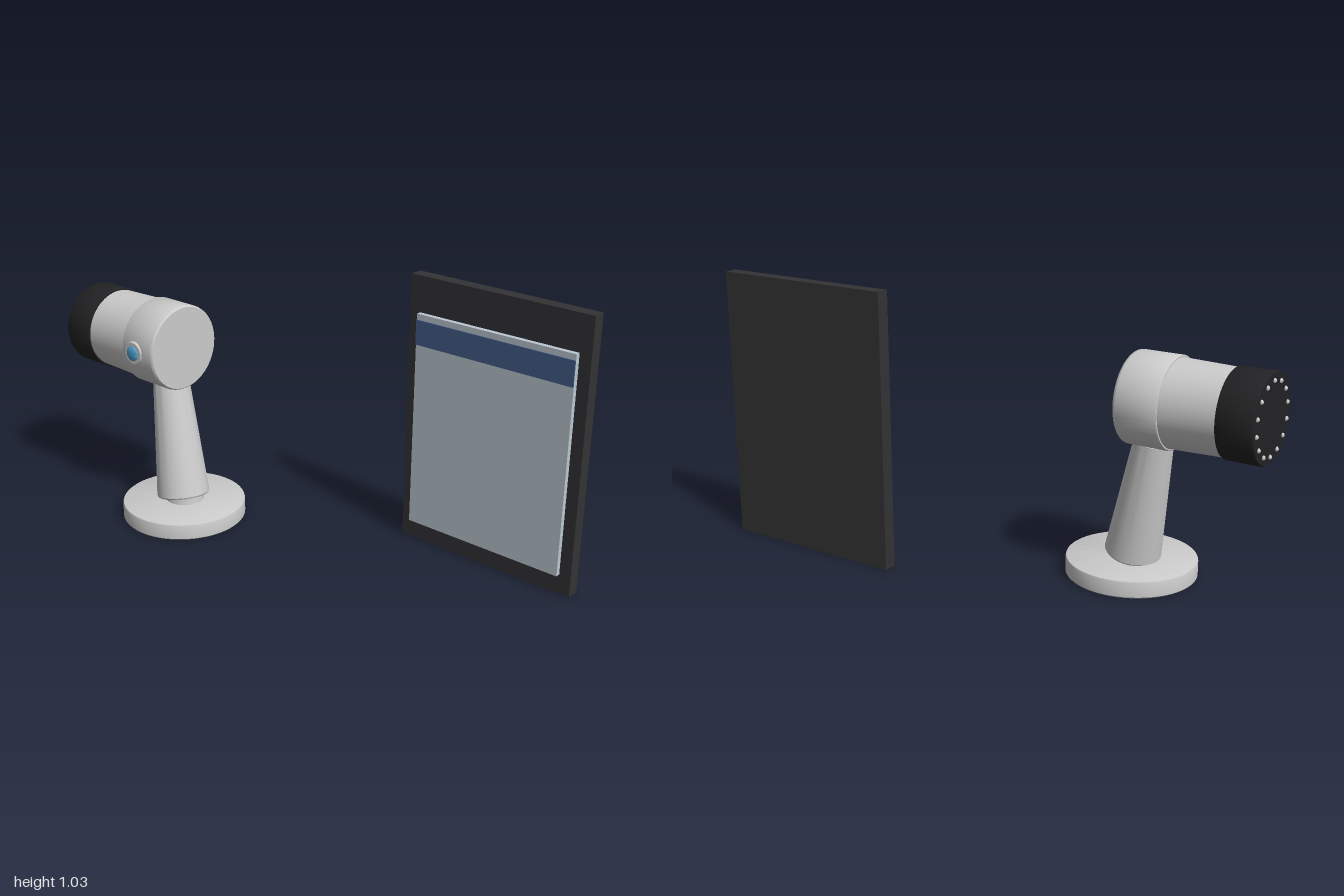
import * as THREE from 'three';
import { toCreasedNormals } from 'three/addons/utils/BufferGeometryUtils.js';

const material = (color) => new THREE.MeshStandardMaterial({ color });

export function createModel() {
  const model = new THREE.Group();
  const grey = material(0xcccccc);
  const black = material(0x222224);
  const frame = material(0x333335);
  const pane = material(0xbcc8d3);
  const navy = material(0x455f8c);
  const blue = material(0x4fa3d1);

  const add = (parent, name, geometry, mat, x = 0, y = 0, z = 0) => {
    const mesh = new THREE.Mesh(geometry, mat);
    mesh.name = name;
    mesh.position.set(x, y, z);
    parent.add(mesh);
    return mesh;
  };
  // Turned solid from [radius, height] pairs, listed bottom to top
  const turned = (pairs, sides = 64) => toCreasedNormals(
    new THREE.LatheGeometry(pairs.map(([r, h]) => new THREE.Vector2(r, h)), sides), 0.6);
  // Box given by its corner limits
  const box = (parent, name, mat, x0, x1, y0, y1, z0, z1) => add(parent, name,
    new THREE.BoxGeometry(x1 - x0, y1 - y0, z1 - z0), mat, (x0 + x1) / 2, (y0 + y1) / 2, (z0 + z1) / 2);

  // Stand: round foot, socket and leaning tapered arm
  const stand = new THREE.Group();
  stand.name = 'stand';
  model.add(stand);
  add(stand, 'foot', turned([[0, 0], [0.235, 0], [0.24, 0.005], [0.24, 0.058], [0.238, 0.063], [0.233, 0.065], [0, 0.065]]),
    grey, -0.477, 0, 0.125);
  add(stand, 'socket', new THREE.CylinderGeometry(0.07, 0.075, 0.04, 40), grey, -0.475, 0.075, 0.122);
  const low = new THREE.Vector3(-0.481, 0.08, 0.125);
  const high = new THREE.Vector3(-0.57, 0.53, 0.086);
  const lean = high.clone().sub(low);
  const arm = add(stand, 'arm', turned([[0, 0], [0.099, 0], [0.103, 0.006], [0.07, lean.length()], [0, lean.length()]], 48), grey);
  arm.position.copy(low);
  arm.quaternion.setFromUnitVectors(new THREE.Vector3(0, 1, 0), lean.normalize());

  // Head: its local y axis points along -x, towards the lens
  const head = new THREE.Group();
  head.name = 'head';
  head.position.set(-0.49, 0.675, 0.085);
  head.rotation.z = Math.PI / 2;
  model.add(head);
  add(head, 'rearHousing', turned([[0, 0], [0.16, 0], [0.164, 0.004], [0.166, 0.012], [0.166, 0.16], [0.163, 0.165], [0, 0.165]]), grey);
  add(head, 'barrel', turned([[0, 0.16], [0.158, 0.16], [0.152, 0.38], [0, 0.38]]), grey);
  add(head, 'lensCap', turned([[0, 0.37], [0.157, 0.37], [0.159, 0.375], [0.159, 0.497], [0.156, 0.502], [0, 0.502]]), black);

  // Ring of small lamps on the lens face
  const lamps = 14;
  for (let i = 0; i < lamps; i++) {
    const a = (i / lamps) * Math.PI * 2;
    add(head, 'lamp', new THREE.SphereGeometry(0.009, 12, 8), grey, Math.cos(a) * 0.13, 0.501, Math.sin(a) * 0.13);
  }

  // Round button on the front of the housing
  const button = new THREE.Group();
  button.name = 'button';
  button.position.set(-0.59, 0.675, 0.24);
  button.rotation.x = Math.PI / 2;
  model.add(button);
  add(button, 'buttonRim', turned([[0, -0.01], [0.045, -0.01], [0.045, 0.013], [0.042, 0.016], [0, 0.016]], 40), grey);
  add(button, 'buttonDome', turned([[0, 0.01], [0.028, 0.01], [0.028, 0.021], [0.023, 0.024], [0, 0.025]], 32), blue);

  // Display board with a page and a title band
  const board = new THREE.Group();
  board.name = 'displayBoard';
  model.add(board);
  box(board, 'backPanel', frame, 0.272, 1, 0, 1.03, -0.365, -0.315);
  box(board, 'page', pane, 0.315, 0.955, 0.075, 0.895, -0.32, -0.296);
  box(board, 'titleBand', navy, 0.315, 0.955, 0.78, 0.873, -0.31, -0.292);

  return model;
}
